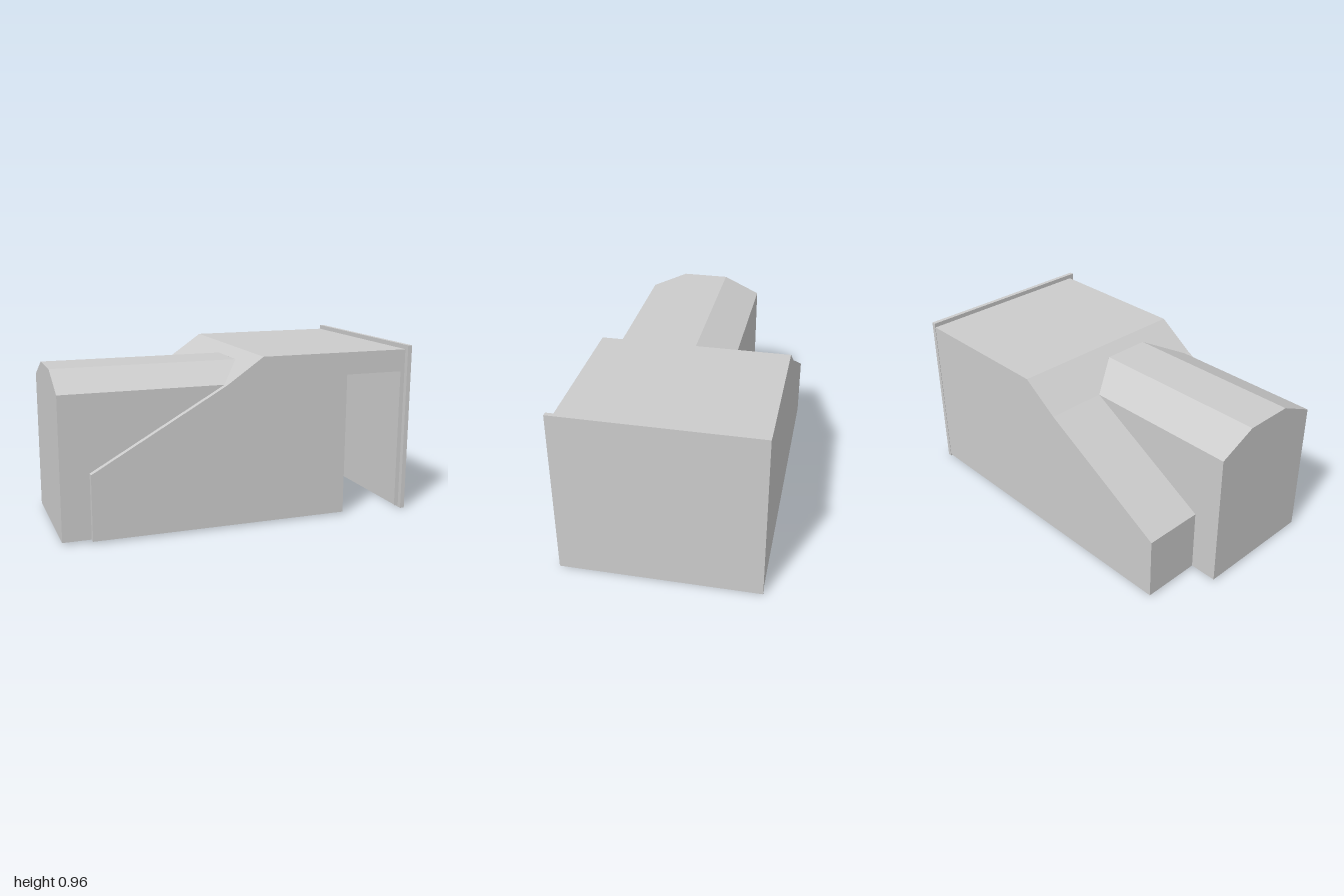
import * as THREE from 'three';

const BASE = 0.01, TOP = 0.935;
const BACK = -0.55, FRONT = 0.525;
const ARM_BACK = -0.215, ARM_FRONT = 0.49;
const EAVE = 0.79, RIDGE = 0.89;

export function createModel() {
  const group = new THREE.Group();
  const material = new THREE.MeshStandardMaterial({
    color: 0xcccccc, flatShading: true, side: THREE.DoubleSide,
  });

  // A flat outline whose points are placed in space by a rule
  function sheet(name, outline, place) {
    const shape = new THREE.Shape(outline.map(([u, v]) => new THREE.Vector2(u, v)));
    const geometry = new THREE.ShapeGeometry(shape);
    const pos = geometry.attributes.position;
    for (let i = 0; i < pos.count; i++) pos.setXYZ(i, ...place(pos.getX(i), pos.getY(i)));
    geometry.computeVertexNormals();
    const mesh = new THREE.Mesh(geometry, material);
    mesh.name = name;
    group.add(mesh);
  }
  const facingFront = z => (u, v) => [u, v, z];
  const facingBack = z => (u, v) => [-u, v, z];
  const facingRight = x => (u, v) => [x, v, u];
  const facingUp = height => (u, v) => [u, height(u, -v), -v];
  const flipX = points => points.map(([x, y]) => [-x, y]);
  const flipZ = points => points.map(([x, z]) => [x, -z]);
  const rect = (a, b, c, d) => [[a, c], [b, c], [b, d], [a, d]];

  // Body side walls; the front one has a doorway
  const slopeLine = [[0.975, TOP], [0.105, TOP], [-0.105, EAVE], [-0.845, 0.37], [-0.845, BASE]];
  const doorway = [[0.61, BASE], [0.61, 0.81], [0.95, 0.81], [0.95, BASE]];
  sheet('frontWall', [...slopeLine, ...doorway, [0.975, BASE]], facingFront(FRONT));
  sheet('backWall', flipX([...slopeLine, [0.975, BASE]]), facingBack(BACK));

  // Flat roof and the steep slope, cut away where the arm joins
  sheet('flatRoof', flipZ(rect(0.105, 0.975, BACK, FRONT)), facingUp(() => TOP));
  const steep = x => EAVE + (x + 0.105) * (TOP - EAVE) / 0.21;
  sheet('upperSlope', flipZ([
    [-0.105, BACK], [0.105, BACK], [0.105, FRONT], [-0.105, FRONT],
    [-0.105, ARM_FRONT], [0.04, 0.275], [0.04, 0], [-0.105, ARM_BACK],
  ]), facingUp(steep));

  // Long slopes and low end walls on both sides of the arm
  const gentle = x => 0.37 + (x + 0.845) * (EAVE - 0.37) / 0.74;
  for (const [z0, z1] of [[BACK, ARM_BACK], [ARM_FRONT, FRONT]]) {
    sheet('lowerSlope', flipZ(rect(-0.845, -0.105, z0, z1)), facingUp(gentle));
    sheet('lowEndWall', rect(z0, z1, BASE, 0.37), facingRight(-0.845));
  }

  // Arm walls, ending along the body slope
  const armSide = [[-1, BASE], [-0.845, BASE], [-0.845, 0.37], [-0.105, EAVE], [-1, EAVE]];
  sheet('armFrontWall', armSide, facingFront(ARM_FRONT));
  sheet('armBackWall', flipX(armSide), facingBack(ARM_BACK));
  sheet('armEndWall', [
    [ARM_BACK, BASE], [ARM_FRONT, BASE], [ARM_FRONT, EAVE],
    [0.275, RIDGE], [0, RIDGE], [ARM_BACK, EAVE],
  ], facingRight(-1));

  // Arm roof: flat middle and two bevels
  sheet('armRoof', flipZ(rect(-1, 0.04, 0, 0.275)), facingUp(() => RIDGE));
  for (const [inner, outer] of [[0, ARM_BACK], [0.275, ARM_FRONT]]) {
    const bevel = (x, z) => EAVE + (RIDGE - EAVE) * (z - outer) / (inner - outer);
    sheet('armRoofBevel', flipZ([[-1, outer], [-0.105, outer], [0.04, inner], [-1, inner]]),
      facingUp(bevel));
  }

  // Thin slab closing the tall end
  const slab = new THREE.Mesh(new THREE.BoxGeometry(0.025, 0.96, 1.105), material);
  slab.position.set(0.9875, 0.48, 0);
  slab.name = 'endSlab';
  group.add(slab);

  return group;
}
